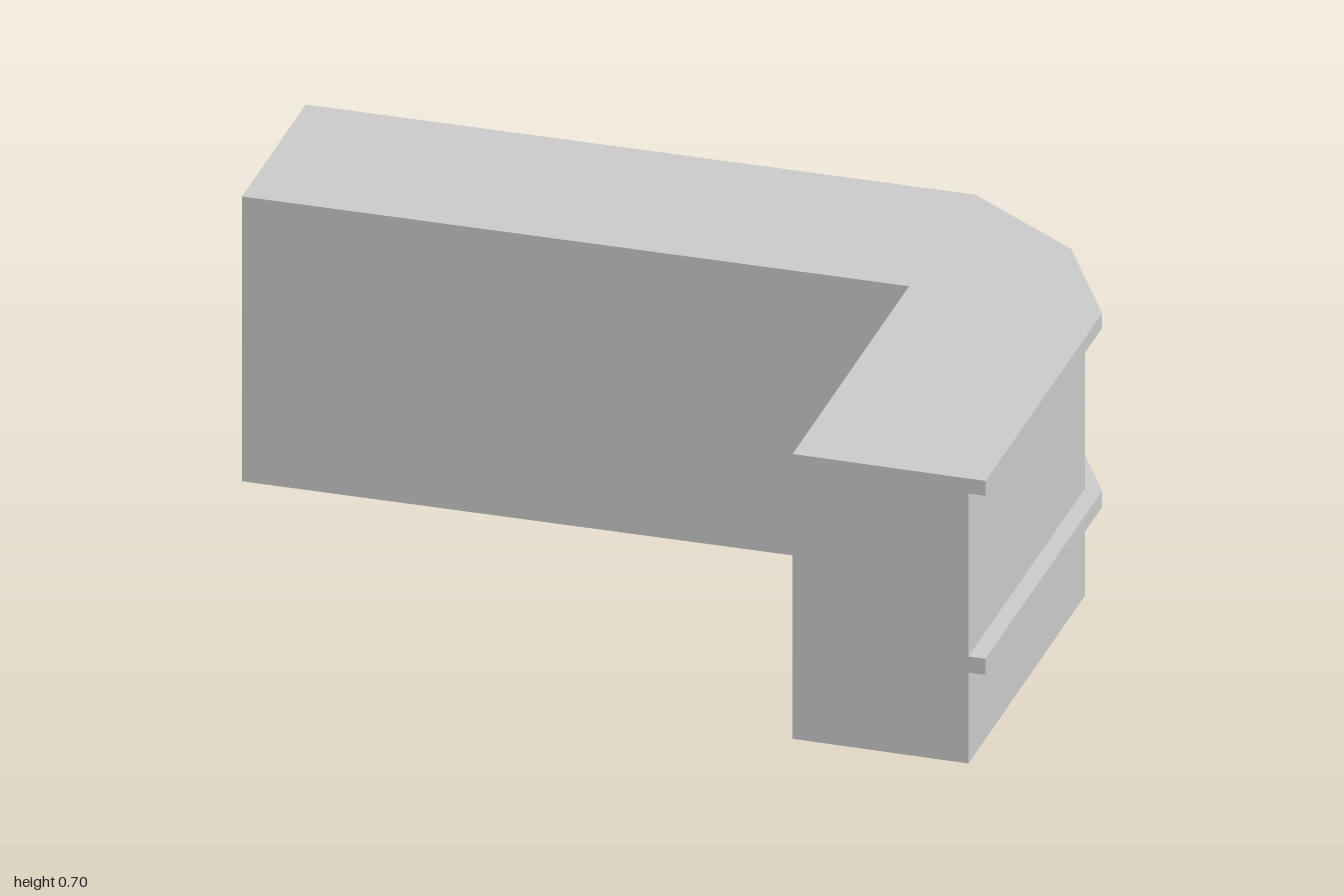
import * as THREE from 'three';

// Plan points are [x, z], running along the outside of the bend
const wallOuter = [[-1, -0.65], [0.55, -0.65], [0.815, -0.47], [0.96, -0.2], [0.96, 0.685]];
const ledgeOuter = [[-1, -0.69], [0.555, -0.69], [0.84, -0.49], [1, -0.2], [1, 0.685]];
const wallInner = [[0.55, 0.68], [0.55, -0.205], [-1, -0.205]];

const material = new THREE.MeshStandardMaterial({ color: 0xcccccc, flatShading: true });

// Extrude a plan outline upward between two heights
function slab(name, plan, bottom, top) {
  const shape = new THREE.Shape(plan.map(([x, z]) => new THREE.Vector2(x, -z)));
  const geometry = new THREE.ExtrudeGeometry(shape, { depth: top - bottom, bevelEnabled: false });
  geometry.rotateX(-Math.PI / 2);
  geometry.translate(0, bottom, 0);
  const mesh = new THREE.Mesh(geometry, material);
  mesh.name = name;
  return mesh;
}

export function createModel() {
  const group = new THREE.Group();
  group.name = 'cornerWall';

  // Bent wall with a faceted outer corner
  group.add(slab('wall', [...wallOuter, ...wallInner], 0, 0.705));

  // Ledges that follow the outer face
  const ledgePlan = [...ledgeOuter, ...[...wallOuter].reverse()];
  group.add(slab('middleLedge', ledgePlan, 0.225, 0.265));
  group.add(slab('topLedge', ledgePlan, 0.668, 0.705));

  return group;
}
